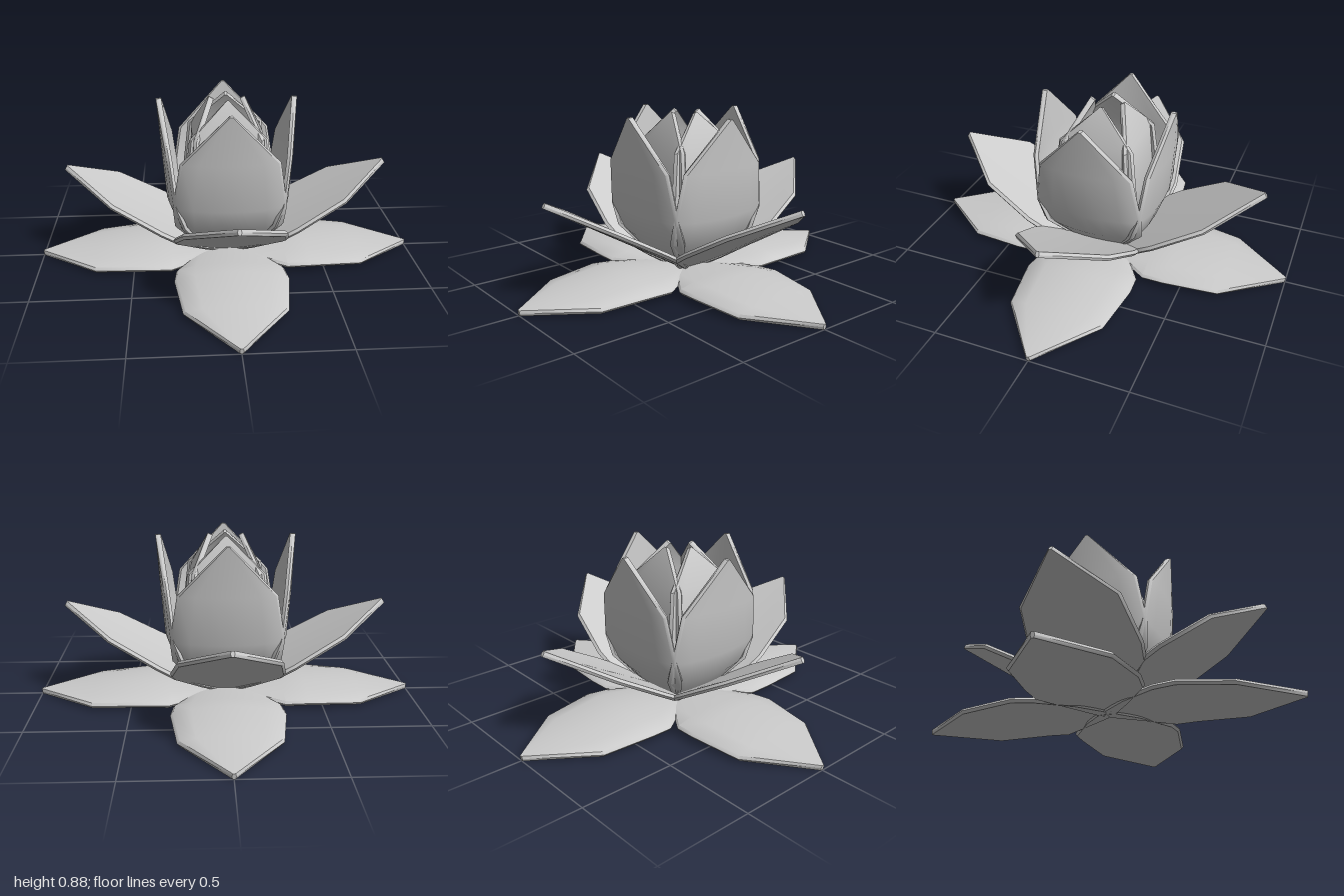
import * as THREE from 'three';
import { toCreasedNormals } from 'three/addons/utils/BufferGeometryUtils.js';

const HALF_WIDTHS = [0.06, 0.16, 0.28, 0.29, 0.25, 0.01]; // base to tip
const THICKNESS = 0.028;
const ACROSS = [-1, -0.67, -0.33, 0, 0.33, 0.67, 1];

// Each layer: centre line from base to tip as [outward, up], edge curl, width scale
const LAYERS = [
  { name: 'outerPetal', curl: -0.035, width: 1,
    path: [[0, 0.03], [0.12, 0.045], [0.3, 0.065], [0.42, 0.075], [0.7, 0.05], [1, 0.016]] },
  { name: 'lowerPetal', curl: 0.01, width: 1,
    path: [[0.02, 0.03], [0.12, 0.089], [0.269, 0.177], [0.352, 0.226], [0.6, 0.37], [0.845, 0.51]] },
  { name: 'uprightPetal', curl: 0.04, width: 1,
    path: [[0.02, 0.04], [0.14, 0.1], [0.26, 0.24], [0.31, 0.37], [0.33, 0.62], [0.35, 0.875]] },
  { name: 'innerPetal', curl: 0.015, width: 0.8,
    path: [[0.02, 0.04], [0.1, 0.12], [0.165, 0.29], [0.19, 0.42], [0.17, 0.7], [0.08, 0.875]] },
];

// Thick petal growing along +z: closed cross-section rings lofted along the path
function petalGeometry({ path, curl, width }) {
  const positions = [], index = [];
  const last = path.length - 1;
  let ringSize = 0;

  path.forEach(([z, y], i) => {
    const [z0, y0] = path[Math.max(i - 1, 0)];
    const [z1, y1] = path[Math.min(i + 1, last)];
    const length = Math.hypot(z1 - z0, y1 - y0);
    const nz = -(y1 - y0) / length, ny = (z1 - z0) / length;
    const half = HALF_WIDTHS[i] * width;
    const flat = half - Math.min(0.012, half * 0.4); // rim bevel
    const bend = curl * (half / 0.29) ** 2;

    const ring = [
      ...ACROSS.map((u) => [u * flat, bend * u * u + THICKNESS / 2]),
      [half, bend],
      ...ACROSS.map((u) => [-u * flat, bend * u * u - THICKNESS / 2]),
      [-half, bend],
    ];
    ring.forEach(([x, d]) => positions.push(x, y + ny * d, z + nz * d));
    ringSize = ring.length;
  });

  for (let i = 0; i < last; i++) {
    for (let j = 0; j < ringSize; j++) {
      const k = (j + 1) % ringSize;
      const a = i * ringSize + j, b = i * ringSize + k;
      const c = b + ringSize, d = a + ringSize;
      index.push(a, d, c, a, c, b);
    }
  }
  // Base and tip caps
  const end = last * ringSize;
  for (let j = 1; j < ringSize - 1; j++) {
    index.push(0, j, j + 1, end, end + j + 1, end + j);
  }

  const geometry = new THREE.BufferGeometry();
  geometry.setAttribute('position', new THREE.Float32BufferAttribute(positions, 3));
  geometry.setIndex(index);
  return toCreasedNormals(geometry, 0.75);
}

export function createModel() {
  const flower = new THREE.Group();
  flower.name = 'waterLily';
  const material = new THREE.MeshStandardMaterial({ color: 0xcccccc });

  // Four petals per layer, a quarter turn apart
  for (const layer of LAYERS) {
    const geometry = petalGeometry(layer);
    const group = new THREE.Group();
    group.name = layer.name + 's';
    for (let i = 0; i < 4; i++) {
      const petal = new THREE.Mesh(geometry, material);
      petal.name = layer.name;
      petal.rotation.y = (i * Math.PI) / 2;
      group.add(petal);
    }
    flower.add(group);
  }
  return flower;
}
